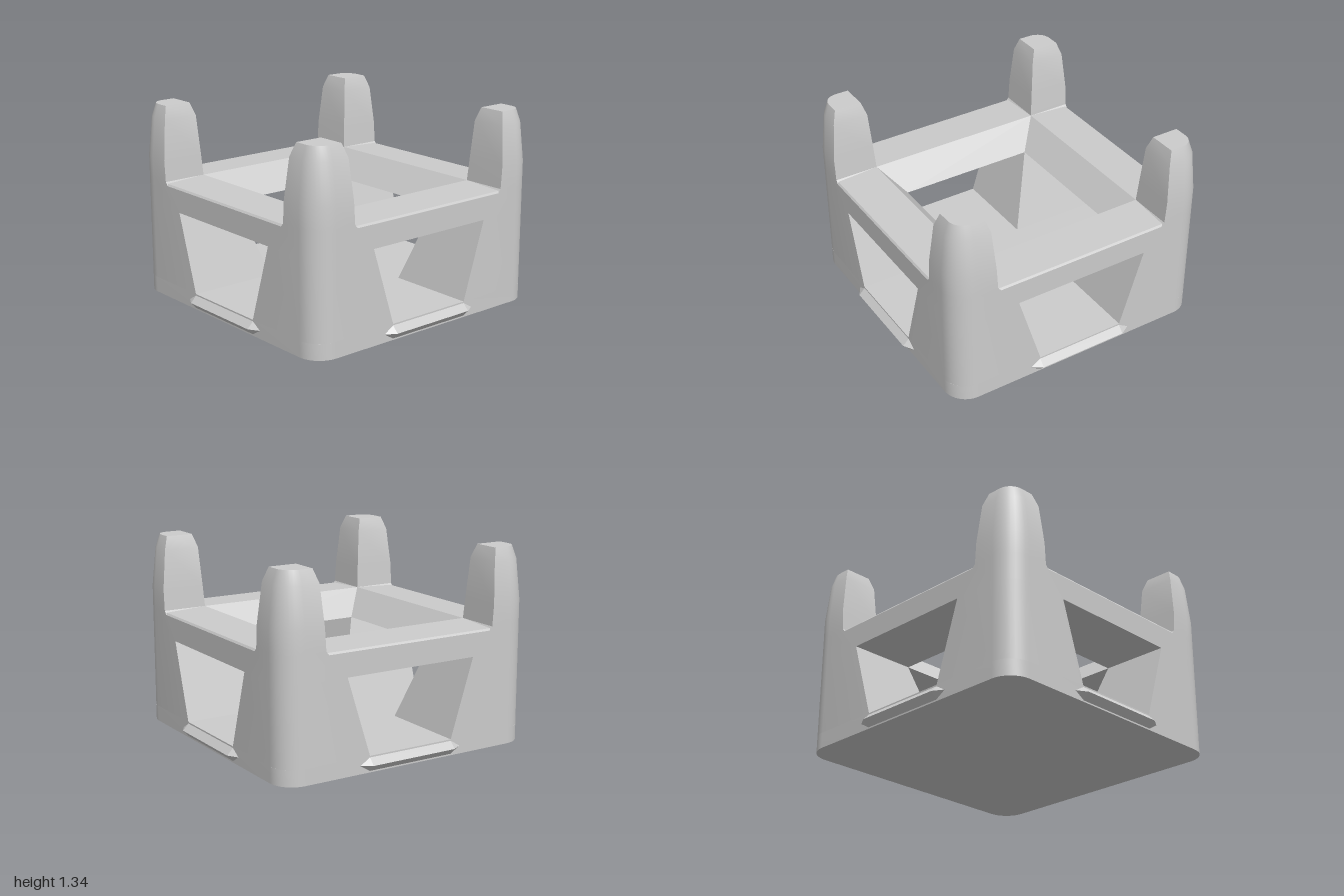
import * as THREE from 'three';
import { toCreasedNormals } from 'three/addons/utils/BufferGeometryUtils.js';
import { ConvexGeometry } from 'three/addons/geometries/ConvexGeometry.js';

const HALF = 0.957;   // half width of the body
const RADIUS = 0.16;  // rounded vertical corner
const FLOOR = 0.11;   // floor thickness
const ARC = 8;

// Post levels: height, inner edge, outer edge, corner radius
const POST_LEVELS = [
  [FLOOR, 0.32, HALF, RADIUS],
  [0.645, 0.49, HALF, RADIUS],
  [0.83, 0.645, HALF, RADIUS],
  [0.98, 0.655, HALF, RADIUS],
  [1.25, 0.675, 0.928, 0.13],
  [1.34, 0.705, 0.897, 0.1],
];

// Square section with one rounded outer corner
function postRing([y, inner, outer, r]) {
  const ring = [[inner, y, inner], [outer, y, inner]];
  for (let i = 0; i <= ARC; i++) {
    const t = (i / ARC) * Math.PI / 2;
    ring.push([outer - r + r * Math.cos(t), y, outer - r + r * Math.sin(t)]);
  }
  ring.push([inner, y, outer]);
  return ring;
}

// Skin a stack of rings and cap both ends
function loft(rings) {
  const n = rings[0].length;
  const index = [];
  for (let k = 0; k < rings.length - 1; k++) {
    for (let i = 0; i < n; i++) {
      const j = (i + 1) % n;
      const a = k * n + i, b = k * n + j, c = b + n, d = a + n;
      index.push(a, c, b, a, d, c);
    }
  }
  const top = (rings.length - 1) * n;
  for (let i = 1; i < n - 1; i++) {
    index.push(0, i, i + 1, top, top + i + 1, top + i);
  }
  const geo = new THREE.BufferGeometry();
  geo.setAttribute('position', new THREE.Float32BufferAttribute(rings.flat(2), 3));
  geo.setIndex(index);
  return toCreasedNormals(geo, 0.35);
}

// Convex solid from points mirrored in x
function mirroredHull(points) {
  const all = points.flatMap(([x, y, z]) => [new THREE.Vector3(x, y, z), new THREE.Vector3(-x, y, z)]);
  return new ConvexGeometry(all);
}

function floorGeometry() {
  const s = new THREE.Shape();
  const c = HALF - RADIUS;
  s.absarc(c, c, RADIUS, 0, Math.PI / 2);
  s.absarc(-c, c, RADIUS, Math.PI / 2, Math.PI);
  s.absarc(-c, -c, RADIUS, Math.PI, Math.PI * 1.5);
  s.absarc(c, -c, RADIUS, Math.PI * 1.5, Math.PI * 2);
  const geo = new THREE.ExtrudeGeometry(s, { depth: FLOOR, bevelEnabled: false, curveSegments: ARC });
  geo.rotateX(-Math.PI / 2);
  return toCreasedNormals(geo, 0.35);
}

export function createModel() {
  const group = new THREE.Group();
  const material = new THREE.MeshStandardMaterial({ color: 0xcccccc });
  const add = (name, geometry, turn = 0) => {
    const mesh = new THREE.Mesh(geometry, material);
    mesh.name = name;
    mesh.rotation.y = turn;
    group.add(mesh);
  };

  const post = loft(POST_LEVELS.map(postRing));

  // Rail with a sloping inner face, its ends flush with the posts
  const rail = mirroredHull([
    [0.49, 0.645, 0.49], [0.49, 0.645, HALF],
    [0.645, 0.83, 0.645], [0.635, 0.818, HALF - 0.01], [0.63, 0.805, HALF],
  ]);

  // Faceted lip below each opening
  const lip = mirroredHull([
    [0.32, 0, HALF - 0.01], [0.32, FLOOR, HALF - 0.01],
    [0.41, 0.055, HALF - 0.01], [0.32, 0.055, 1],
  ]);

  add('floor', floorGeometry());
  const sides = ['front', 'left', 'back', 'right'];
  sides.forEach((side, i) => {
    const turn = i * Math.PI / 2;
    add(`${side}Post`, post, turn);
    add(`${side}Rail`, rail, turn);
    add(`${side}Lip`, lip, turn);
  });
  return group;
}
